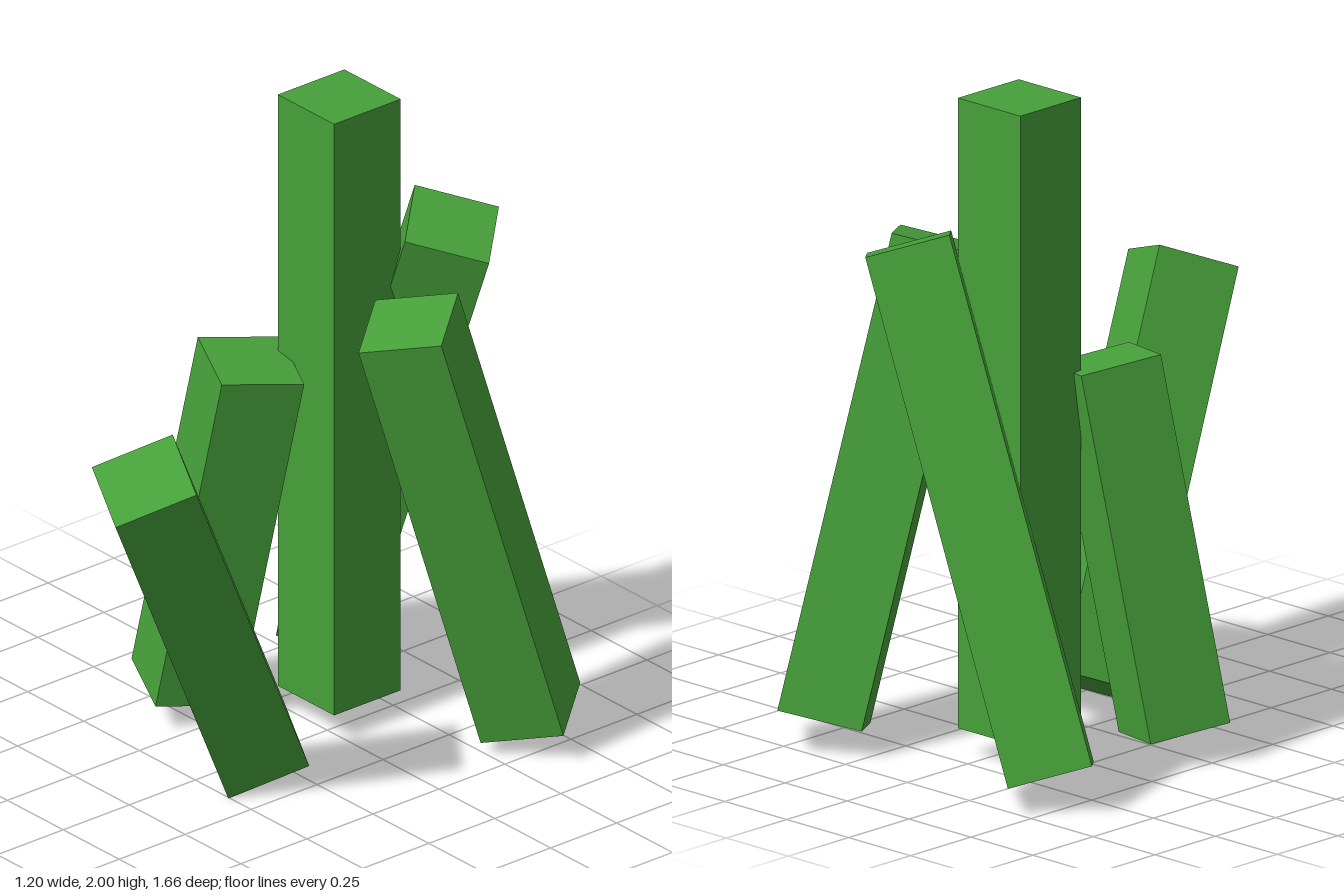
import * as THREE from 'three';

const SIDE = 0.252; // every post has the same square section

// name, bottom centre, top centre, direction from the axis towards one corner edge
const POSTS = [
  ['centrePost', [-0.055, 0.09, -0.342], [-0.055, 2, -0.342], [1, 0, 1]],
  ['backRightLeaningPost', [-0.435, 0.088, -0.602], [0.135, 1.575, -0.608], [0, 0, 1]],
  ['backLeftLeaningPost', [0.425, 0.09, -0.66], [0.363, 1.458, -0.25], [0.178, 0.002, 0.025]],
  ['frontRightLeaningPost', [-0.372, 0.09, -0.025], [-0.17, 1.18, -0.105], [0.065, 0, 0.165]],
  ['frontLeftLeaningPost', [0.105, 0.088, 0.105], [0.277, 1.213, 0.678], [0.168, 0, -0.055]],
];

// A square post running between two points, rolled so one edge faces the corner direction
function makePost(name, bottom, top, corner, material) {
  const a = new THREE.Vector3(...bottom);
  const b = new THREE.Vector3(...top);
  const up = b.clone().sub(a);
  const length = up.length();
  up.normalize();
  const diagonal = new THREE.Vector3(...corner);
  diagonal.addScaledVector(up, -diagonal.dot(up)).normalize();
  const xAxis = diagonal.applyAxisAngle(up, Math.PI / 4);
  const zAxis = new THREE.Vector3().crossVectors(xAxis, up);

  const post = new THREE.Mesh(new THREE.BoxGeometry(SIDE, length, SIDE), material);
  post.name = name;
  post.quaternion.setFromRotationMatrix(new THREE.Matrix4().makeBasis(xAxis, up, zAxis));
  post.position.copy(a).add(b).multiplyScalar(0.5);
  return post;
}

export function createModel() {
  const group = new THREE.Group();
  group.name = 'postCluster';
  const green = new THREE.MeshStandardMaterial({ color: 0x46a03a });
  green.name = 'leafGreen';
  for (const [name, bottom, top, corner] of POSTS) {
    group.add(makePost(name, bottom, top, corner, green));
  }
  return group;
}
